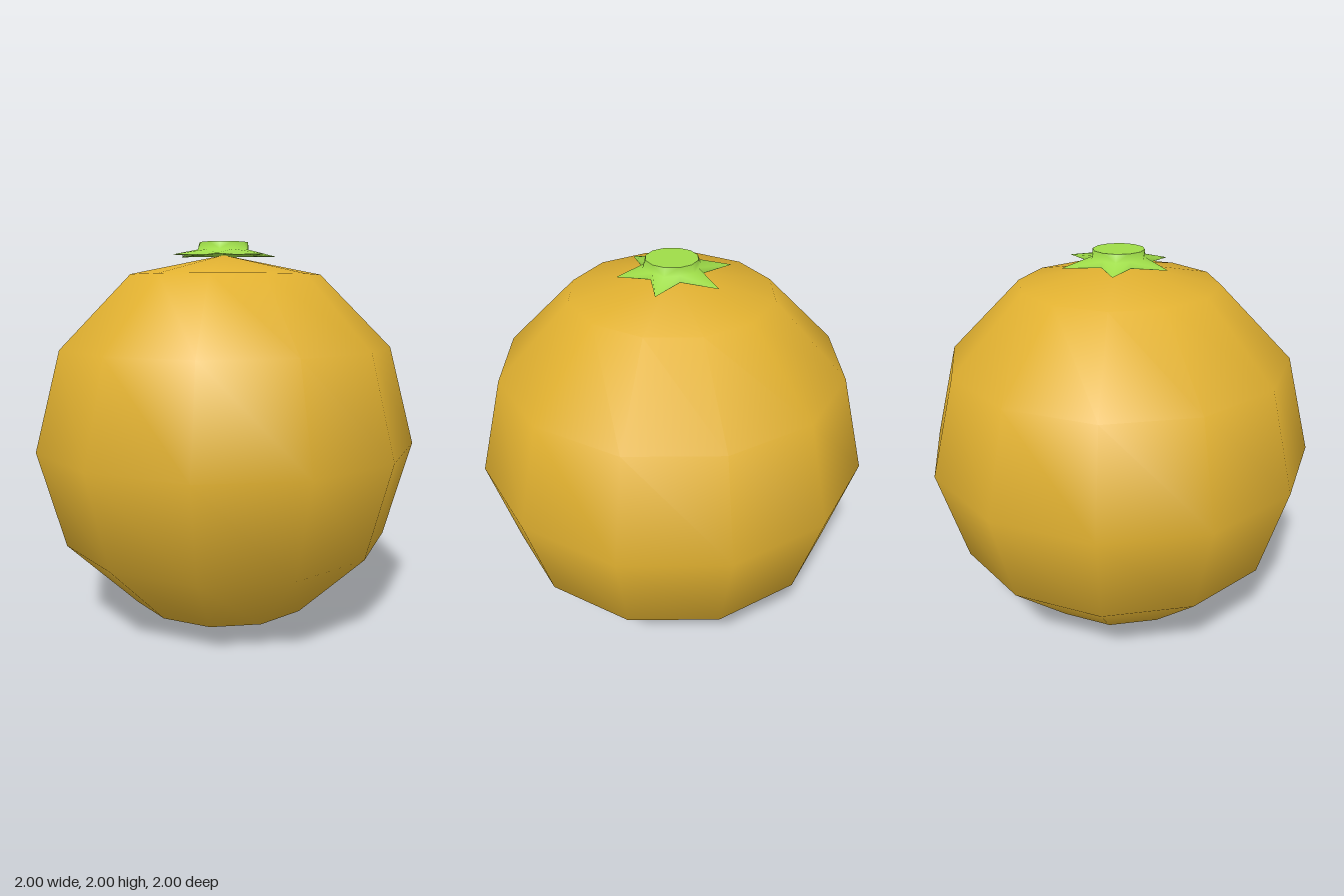
import * as THREE from 'three';

const bodyMat = new THREE.MeshStandardMaterial({ color: 0xe0b030 });
bodyMat.name = 'golden orange skin';
const leafMat = new THREE.MeshStandardMaterial({ color: 0x9edc48, side: THREE.DoubleSide });
leafMat.name = 'leaf green';

const CENTRE_Y = 0.97;
const POLE = 0.966; // slightly flattened poles

// Low-poly round fruit with smooth normals
function makeBody() {
  const geo = new THREE.SphereGeometry(1, 12, 6);
  const pos = geo.attributes.position;
  for (let i = 0; i < pos.count; i++) {
    if (Math.abs(pos.getY(i)) > 0.99) pos.setY(i, Math.sign(pos.getY(i)) * POLE);
  }
  const mesh = new THREE.Mesh(geo, bodyMat);
  mesh.name = 'fruitBody';
  mesh.position.y = CENTRE_Y;
  return mesh;
}

// Leaf tip distances, anticlockwise from +x towards -z
const TIPS = [0.265, 0.298, 0.295, 0.295, 0.282, 0.262];

// Stem wall flaring into a six-pointed star, from three rings of 12 points
function makeCalyx() {
  const N = 12;
  const rings = [
    () => [0.127, 2.0],
    (i) => [i % 2 ? 0.128 : 0.142, 1.962],
    (i) => [i % 2 ? 0.14 : TIPS[i / 2], 1.934],
  ];
  const verts = [];
  const index = [];
  for (const ring of rings) {
    for (let i = 0; i < N; i++) {
      const a = (i / N) * Math.PI * 2;
      const [r, y] = ring(i);
      verts.push(r * Math.cos(a), y, -r * Math.sin(a));
    }
  }
  for (let k = 0; k < 2; k++) {
    for (let i = 0; i < N; i++) {
      const j = (i + 1) % N;
      const a = k * N + i, b = k * N + j, c = a + N, d = b + N;
      // Split each quad so the fold runs down the notch, leaving leaves ridged
      if (i % 2) index.push(a, c, d, a, d, b);
      else index.push(a, c, b, b, c, d);
    }
  }
  const geo = new THREE.BufferGeometry();
  geo.setAttribute('position', new THREE.Float32BufferAttribute(verts, 3));
  geo.setIndex(index);
  geo.computeVertexNormals();
  const mesh = new THREE.Mesh(geo, leafMat);
  mesh.name = 'leafCalyx';
  return mesh;
}

// Flat star closing the underside of the leaves
function makeUnderside() {
  const pts = [];
  for (let i = 0; i < 12; i++) {
    const a = (i / 12) * Math.PI * 2;
    const r = i % 2 ? 0.14 : TIPS[i / 2];
    pts.push(new THREE.Vector2(r * Math.cos(a), -r * Math.sin(a)));
  }
  const geo = new THREE.ShapeGeometry(new THREE.Shape(pts));
  geo.rotateX(Math.PI / 2);
  const mesh = new THREE.Mesh(geo, leafMat);
  mesh.name = 'leafUnderside';
  mesh.position.y = 1.933;
  return mesh;
}

// Flat cut end of the stem
function makeStemTop() {
  const geo = new THREE.CircleGeometry(0.127, 12);
  geo.rotateX(-Math.PI / 2);
  const mesh = new THREE.Mesh(geo, leafMat);
  mesh.name = 'stemTop';
  mesh.position.y = 2.0;
  return mesh;
}

export function createModel() {
  const group = new THREE.Group();
  group.name = 'orangeFruit';
  group.add(makeBody(), makeCalyx(), makeUnderside(), makeStemTop());
  return group;
}
